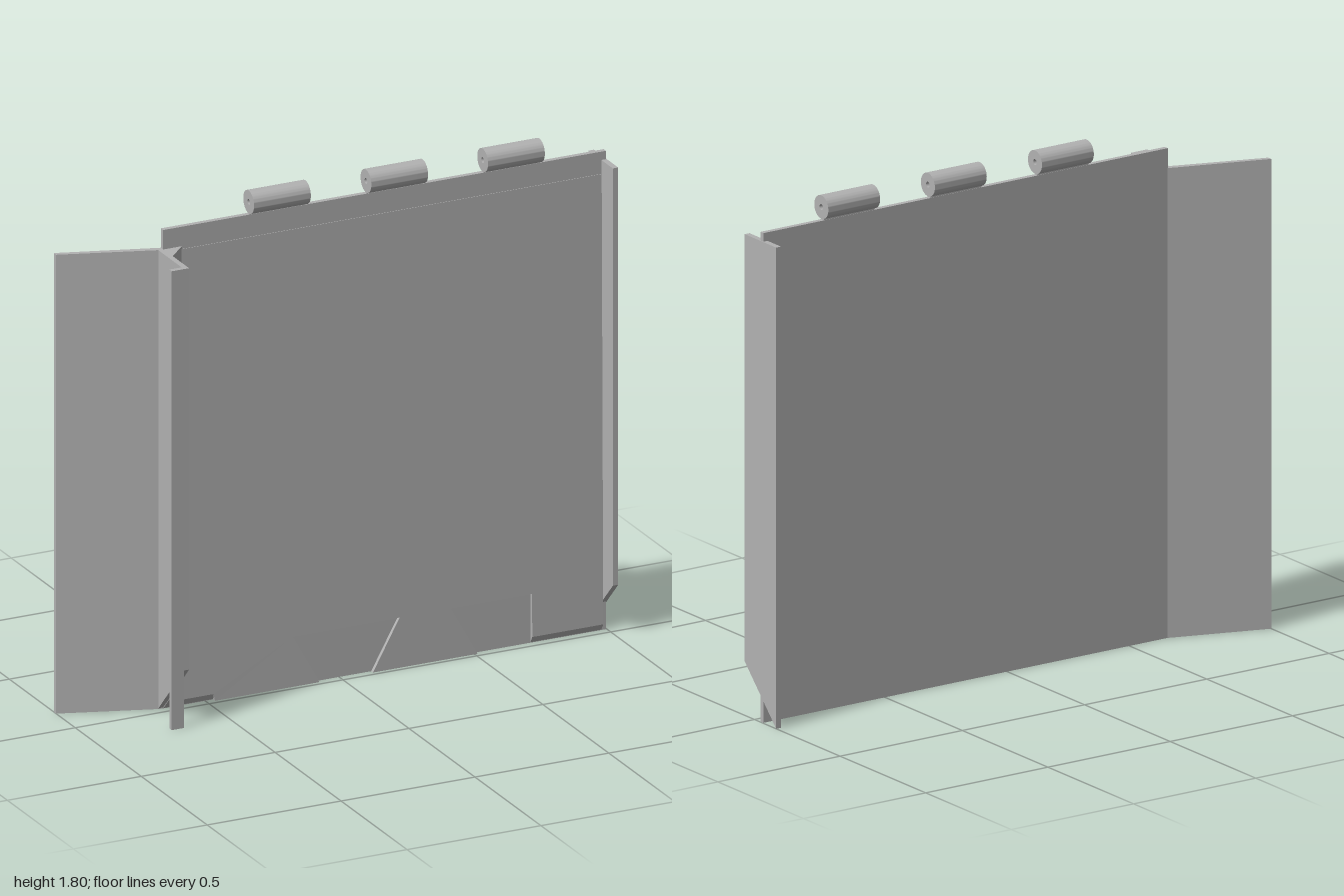
import * as THREE from 'three';
import { toCreasedNormals } from 'three/addons/utils/BufferGeometryUtils.js';

const steel = new THREE.MeshStandardMaterial({ color: 0xb2b2b2 });
steel.name = 'grey steel';

function add(group, name, geometry) {
  const mesh = new THREE.Mesh(geometry, steel);
  mesh.name = name;
  group.add(mesh);
  return mesh;
}

const shapeOf = (points) => new THREE.Shape(points.map(([x, y]) => new THREE.Vector2(x, y)));

// Upright bar: a plan outline of [x, z] corners raised to a height,
// with an optional rule that lifts the bottom end to a slanted cut.
function upright(plan, height, bottom = () => 0) {
  const geo = new THREE.ExtrudeGeometry(shapeOf(plan.map(([x, z]) => [x, -z])), { depth: height, bevelEnabled: false });
  geo.rotateX(-Math.PI / 2);
  const p = geo.attributes.position;
  for (let i = 0; i < p.count; i++) {
    if (p.getY(i) < height / 2) p.setY(i, bottom(p.getZ(i)));
  }
  geo.computeVertexNormals();
  return geo;
}

// Thin front facing with two notches, thickest at the foot
function facingGeometry() {
  const outline = shapeOf([
    [-0.59, 0], [-0.475, 0], [-0.47, 0], [-0.08, 0], [-0.18, 0.18], [0.22, 0.18], [0.12, 0],
    [0.51, 0], [0.41, 0.18], [0.715, 0.18], [0.715, 0], [0.98, 0], [0.98, 1.64], [-0.59, 1.64],
  ]);
  const geo = new THREE.ExtrudeGeometry(outline, { depth: 1, bevelEnabled: false });
  const p = geo.attributes.position;
  for (let i = 0; i < p.count; i++) {
    const x = p.getX(i), y = p.getY(i);
    const front = p.getZ(i) > 0.5;
    p.setZ(i, front ? -0.03 + 0.014 * (1 - 0.85 * y / 1.64) : -0.031);
    // chamfered lower edge at both sides
    if (front && y < 0.01 && (x < -0.472 || x > 0.71)) p.setY(i, 0.025);
  }
  geo.computeVertexNormals();
  return geo;
}

// Hinge barrel with a pin hole
function knuckleGeometry(length) {
  const ring = new THREE.Shape();
  ring.absarc(0, 0, 0.041, 0, Math.PI * 2);
  const hole = new THREE.Path();
  hole.absarc(0, 0, 0.01, 0, Math.PI * 2, true);
  ring.holes.push(hole);
  const geo = new THREE.ExtrudeGeometry(ring, { depth: length, bevelEnabled: false, curveSegments: 32 });
  geo.translate(0, 0, -length / 2);
  geo.rotateY(Math.PI / 2);
  return toCreasedNormals(geo, 0.6);
}

export function createModel() {
  const gate = new THREE.Group();
  gate.name = 'hingedGate';

  // Main sheet and its front facing
  add(gate, 'mainPlate', upright([[-0.657, -0.048], [0.997, -0.048], [0.997, -0.03], [-0.657, -0.03]], 1.72));
  add(gate, 'frontFacing', facingGeometry());

  // Wing angled backwards
  add(gate, 'angledWing', upright([[-1, -0.163], [-0.655, -0.048], [-0.655, -0.03], [-0.674, -0.032], [-1, -0.145]], 1.65));

  // Channel post: web, outer flange and corner brace
  const postCut = (z) => Math.max(0, (z + 0.03) * 1.07);
  add(gate, 'postWeb', upright([[-0.674, -0.034], [-0.655, -0.034], [-0.655, 0.163], [-0.674, 0.163]], 1.65, postCut));
  add(gate, 'postFlange', upright([[-0.72, 0.145], [-0.674, 0.145], [-0.674, 0.163], [-0.72, 0.163]], 1.65));
  add(gate, 'cornerBrace', upright([[-0.656, -0.031], [-0.586, -0.031], [-0.656, 0.04]], 1.65, postCut));

  // Side plate with a slanted foot
  add(gate, 'sidePlate', upright([[0.98, -0.127], [1, -0.127], [1, 0.057], [0.98, 0.057]], 1.69,
    (z) => (z + 0.127) * 1.03));

  // Hinge knuckles on short necks
  const length = 0.212;
  for (const x of [-0.229, 0.209, 0.645]) {
    add(gate, 'hingeKnuckle', knuckleGeometry(length)).position.set(x, 1.764, -0.035);
    add(gate, 'hingeNeck', new THREE.BoxGeometry(length - 0.004, 0.025, 0.016)).position.set(x, 1.7195, -0.039);
  }
  return gate;
}
